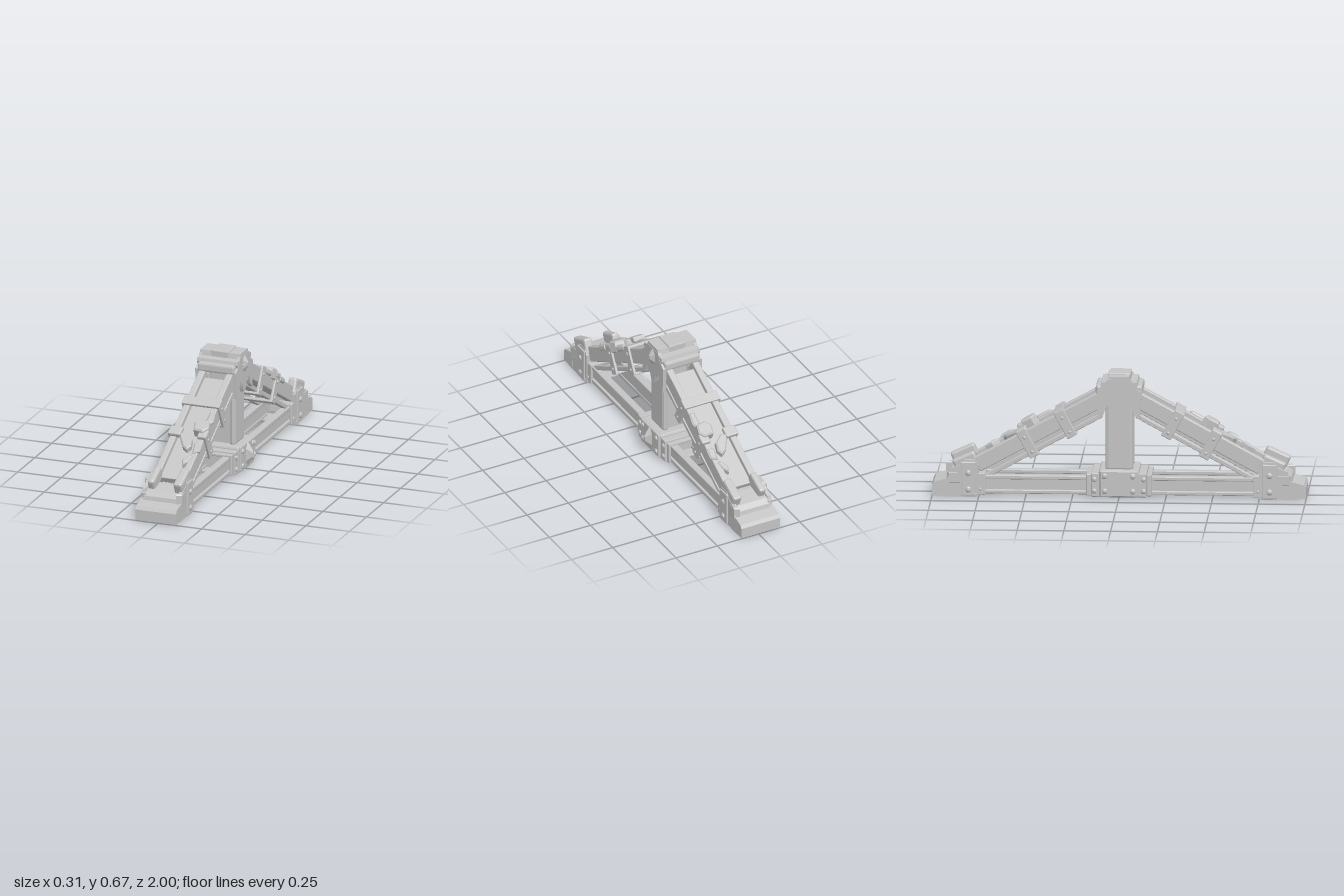
import * as THREE from 'three';
import { RoundedBoxGeometry } from 'three/addons/geometries/RoundedBoxGeometry.js';

const stone = new THREE.MeshStandardMaterial({ color: 0xc4c4c4, flatShading: true });
stone.name = 'pale grey';

function add(parent, name, geometry) {
  const mesh = new THREE.Mesh(geometry, stone);
  mesh.name = name;
  parent.add(mesh);
  return mesh;
}

// Chamfered block given by its min and max on each axis
function block(parent, name, [x0, x1], [y0, y1], [z0, z1], bevel = 0.005) {
  const g = new RoundedBoxGeometry(x1 - x0, y1 - y0, z1 - z0, 1, bevel);
  g.translate((x0 + x1) / 2, (y0 + y1) / 2, (z0 + z1) / 2);
  return add(parent, name, g);
}

// The same block on both sides of x = 0
function pair(parent, name, [x0, x1], y, z, bevel) {
  block(parent, name, [x0, x1], y, z, bevel);
  block(parent, name, [-x1, -x0], y, z, bevel);
}

// Outline in (z, y), pushed through from x0 to x1
function profile(parent, name, points, x0, x1) {
  const shape = new THREE.Shape(points.map(([z, y]) => new THREE.Vector2(z, y)));
  const g = new THREE.ExtrudeGeometry(shape, { depth: x1 - x0, bevelEnabled: false });
  g.rotateY(-Math.PI / 2).translate(x1, 0, 0);
  return add(parent, name, g);
}

// Bevelled slab with an outline in (x, z), from y0 up to y1
function slab(parent, name, points, y0, y1) {
  const b = 0.008;
  const shape = new THREE.Shape(points.map(([x, z]) => new THREE.Vector2(x, z)));
  const g = new THREE.ExtrudeGeometry(shape, {
    depth: y1 - y0 - 2 * b, bevelEnabled: true, bevelThickness: b, bevelSize: b, bevelOffset: -b, bevelSegments: 1,
  });
  g.rotateX(Math.PI / 2).translate(0, y1 - b, 0);
  return add(parent, name, g);
}

function rivets(parent, x, y, z, r = 0.015) {
  for (const s of [-1, 1]) {
    const m = add(parent, 'rivet', new THREE.SphereGeometry(r, 8, 6));
    m.scale.x = 0.7;
    m.position.set(s * x, y, z);
  }
}

// Band wrapped around a beam; the top bar is optional
function strap(parent, name, half, [y0, y1], z, top = true) {
  pair(parent, name + 'Side', [half - 0.015, half], [y0, y1], z, 0.004);
  block(parent, name + 'Bottom', [-half, half], [y0, y0 + 0.014], z, 0.004);
  if (top) block(parent, name + 'Top', [-half, half], [y1 - 0.016, y1], z, 0.004);
}

function createRafter() {
  const r = new THREE.Group();
  r.name = 'rafter';
  r.position.set(0, 0.57, 0.115);
  r.rotation.x = Math.atan(0.545);
  pair(r, 'rafterRail', [0.06, 0.097], [-0.085, 0], [-0.01, 0.76], 0.006);
  pair(r, 'lowerRail', [0.062, 0.09], [-0.133, -0.108], [0.04, 0.77], 0.004);
  block(r, 'rafterPanel', [-0.062, 0.062], [-0.06, -0.025], [0.03, 0.77], 0.004);

  // Whole strap, then a broken one
  strap(r, 'upperStrap', 0.108, [-0.148, 0.012], [0.205, 0.262]);
  strap(r, 'lowerStrap', 0.108, [-0.148, 0.014], [0.435, 0.49], false);
  block(r, 'brokenStrapTop', [-0.108, -0.035], [-0.01, 0.02], [0.43, 0.492], 0.008);
  block(r, 'brokenStrapTop', [0.06, 0.112], [-0.01, 0.02], [0.43, 0.492], 0.008);
  for (const z of [0.233, 0.462]) for (const y of [-0.03, -0.118]) rivets(r, 0.108, y, z, 0.009);

  // Loose broken stones
  slab(r, 'stoneSlab', [[0.02, 0.4], [0.05, 0.37], [0.1, 0.38], [0.11, 0.43], [0.085, 0.46], [0.03, 0.455]], -0.03, 0.034);
  slab(r, 'stoneSlab', [[0.07, 0.3], [0.1, 0.29], [0.109, 0.36], [0.09, 0.39], [0.068, 0.37]], -0.02, 0.012);
  slab(r, 'stoneShard', [[-0.047, 0.47], [-0.01, 0.46], [0.035, 0.5], [0.046, 0.55], [0.03, 0.58], [0, 0.56], [-0.03, 0.51]], -0.03, 0.012);
  slab(r, 'stoneShard', [[0.03, 0.65], [0.06, 0.61], [0.08, 0.62], [0.065, 0.66], [0.042, 0.69]], -0.03, 0.01);
  slab(r, 'stoneSlab', [[0.058, 0.53], [0.104, 0.52], [0.106, 0.58], [0.07, 0.6]], -0.02, 0.012);
  return r;
}

function createFoot() {
  const f = new THREE.Group();
  f.name = 'foot';
  // Stepped toe, hollow underneath
  profile(f, 'footToe', [[1, 0.004], [1, 0.062], [0.988, 0.08], [0.91, 0.1], [0.9, 0.006]], -0.117, 0.117);
  profile(f, 'footStep', [[0.93, 0.085], [0.922, 0.118], [0.895, 0.14], [0.8, 0.16], [0.8, 0.085]], -0.1, 0.1);
  for (const s of [-1, 1]) {
    profile(f, 'footCheek', [[0.75, 0], [0.95, 0], [0.945, 0.07], [0.92, 0.085], [0.9, 0.15], [0.85, 0.17], [0.83, 0.2], [0.77, 0.2], [0.75, 0.17]],
      s * 0.104 - 0.011, s * 0.104 + 0.011);
  }
  pair(f, 'footPlate', [0.108, 0.123], [0.002, 0.19], [0.765, 0.845], 0.005);
  block(f, 'footCrossBand', [-0.12, 0.12], [0, 0.02], [0.76, 0.83], 0.004);
  strap(f, 'beamEndStrap', 0.108, [0.008, 0.125], [0.715, 0.765]);
  rivets(f, 0.121, 0.04, 0.805, 0.017);
  rivets(f, 0.121, 0.13, 0.805, 0.017);
  rivets(f, 0.108, 0.04, 0.742, 0.008);

  // Broken stones wedged along both sides of the foot
  const left = block(f, 'wedgeStone', [0.062, 0.112], [-0.045, 0.045], [-0.07, 0.07], 0.012);
  left.position.set(0, 0.185, 0.83);
  left.rotation.x = 0.42;
  const right = block(f, 'wedgeStone', [-0.092, -0.054], [-0.04, 0.04], [-0.065, 0.065], 0.012);
  right.position.set(0, 0.18, 0.82);
  right.rotation.x = 0.42;
  slab(f, 'edgeStone', [[0.085, 0.86], [0.115, 0.85], [0.12, 0.92], [0.09, 0.935]], 0.07, 0.15);
  slab(f, 'edgeStone', [[-0.116, 0.85], [-0.085, 0.86], [-0.09, 0.92], [-0.118, 0.91]], 0.07, 0.135);
  return f;
}

function createHalf(dir) {
  const h = new THREE.Group();
  h.name = dir > 0 ? 'frontHalf' : 'backHalf';
  // Paired channel beams along the ground
  pair(h, 'beamWeb', [0.062, 0.086], [0.02, 0.11], [0.1, 0.79], 0.003);
  pair(h, 'beamTopFlange', [0.058, 0.099], [0.092, 0.115], [0.1, 0.79], 0.005);
  pair(h, 'beamBottomFlange', [0.058, 0.099], [0.014, 0.036], [0.1, 0.79], 0.005);
  strap(h, 'innerStrap', 0.122, [0.006, 0.135], [0.1, 0.148]);
  strap(h, 'outerStrap', 0.113, [0.01, 0.127], [0.148, 0.175]);
  for (const y of [0.038, 0.102]) rivets(h, 0.122, y, 0.132, 0.014);
  h.add(createRafter(), createFoot());
  // Bar across the end of the cap
  block(h, 'capCrossbar', [-0.106, 0.106], [0.56, 0.612], [0.07, 0.125], 0.012);
  h.scale.z = dir;
  return h;
}

// Faceted crystal set on the left face
function gem(parent, x, y, height, depth) {
  const setting = add(parent, 'gemSetting', new THREE.CylinderGeometry(0.026, 0.034, 0.012, 6));
  setting.rotation.z = -Math.PI / 2;
  setting.scale.z = 0.9;
  setting.position.set(x, y, 0);
  const g = new THREE.CylinderGeometry(0.28, 1, 1, 6);
  g.rotateY(Math.PI / 6).rotateZ(-Math.PI / 2).translate(0.5, 0, 0);
  const m = add(parent, 'gem', g);
  m.scale.set(depth, height / 2, 0.03);
  m.position.set(x, y, 0);
}

export function createModel() {
  const model = new THREE.Group();
  model.name = 'roofTruss';
  model.position.x = -0.013;
  model.add(createHalf(1), createHalf(-1));

  // King post: recessed web between chamfered flanges
  block(model, 'postWeb', [-0.06, 0.06], [0.14, 0.545], [-0.058, 0.058], 0.004);
  pair(model, 'postFlange', [0.056, 0.092], [0.14, 0.56], [-0.075, 0.075], 0.018);

  // Centre joint
  block(model, 'centreBlock', [-0.128, 0.128], [0.004, 0.152], [-0.108, 0.108], 0.012);
  pair(model, 'centrePlate', [0.12, 0.136], [0.01, 0.15], [-0.1, 0.1], 0.005);
  for (const y of [0.04, 0.122]) for (const z of [-0.075, 0.075]) rivets(model, 0.135, y, z, 0.016);
  gem(model, 0.136, 0.085, 0.14, 0.032);

  // Cap over the peak, with jagged side plates
  const mirrored = (half) => [...half, ...half.slice().reverse().map(([z, y]) => [-z, y])];
  profile(model, 'cap', mirrored([[0.085, 0.575], [0.1, 0.61], [0.095, 0.628], [0.06, 0.632], [0.054, 0.66]]), -0.116, 0.116);
  const jagged = mirrored([[0.012, 0.435], [0.035, 0.49], [0.05, 0.47], [0.062, 0.51], [0.085, 0.45], [0.113, 0.425],
    [0.121, 0.575], [0.085, 0.6], [0.06, 0.645]]);
  for (const s of [-1, 1]) profile(model, 'capSidePlate', jagged, s * 0.108 - 0.01, s * 0.108 + 0.01);
  block(model, 'capKey', [-0.05, 0.05], [0.62, 0.668], [-0.06, 0.06], 0.006);
  gem(model, 0.118, 0.593, 0.1, 0.021);
  return model;
}
